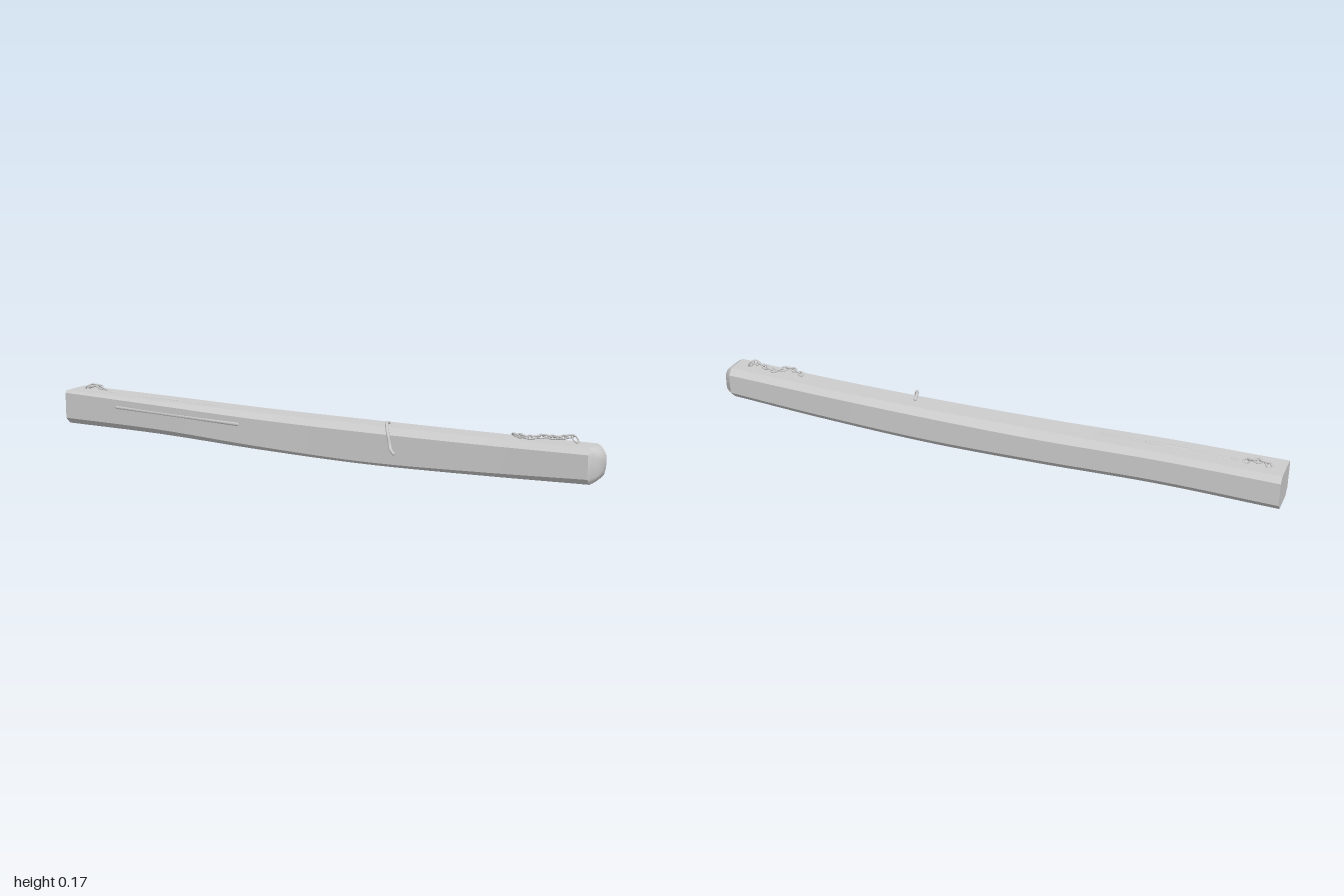
import * as THREE from 'three';
import { mergeGeometries } from 'three/addons/utils/BufferGeometryUtils.js';

const V = (x, y, z) => new THREE.Vector3(x, y, z);

// Beam stations: x, then back z, front z, bottom, top and the four chamfers
// (front top, front bottom, back top, back bottom)
const stationX = [-1, -0.6, -0.2, 0.2, 0.6, 0.965];
const stationValues = [
  -0.087, 0.044, 0.02, 0.143, 0.008, 0.022, 0.018, 0.026,
  -0.084, 0.046, 0.02, 0.139, 0.013, 0.02, 0.018, 0.026,
  -0.087, 0.038, 0.007, 0.134, 0.02, 0.014, 0.024, 0.026,
  -0.09, 0.031, 0.001, 0.132, 0.022, 0.01, 0.022, 0.026,
  -0.087, 0.03, 0.009, 0.133, 0.021, 0.014, 0.02, 0.026,
  -0.079, 0.036, 0.022, 0.137, 0.018, 0.02, 0.02, 0.026,
];
const stations = new THREE.CubicInterpolant(stationX, stationValues, 8);

// Eight-cornered cross-section, going up the front and over the top
function section(x) {
  const [zb, zf, y0, y1, ft, fb, bt, bb] = stations.evaluate(x);
  return [
    V(x, y0 + fb, zf), V(x, y1 - ft, zf), V(x, y1, zf - ft), V(x, y1, zb + bt),
    V(x, y1 - bt, zb), V(x, y0 + bb, zb), V(x, y0, zb + bb), V(x, y0, zf - fb),
  ];
}

// Surface through a row of rings
function loft(rings, closed) {
  const n = rings[0].length, index = [];
  for (let i = 0; i < rings.length - 1; i++) {
    for (let j = 0; j < (closed ? n : n - 1); j++) {
      const k = (j + 1) % n;
      const a = i * n + j, b = (i + 1) * n + j, c = (i + 1) * n + k, d = i * n + k;
      index.push(a, b, c, a, c, d);
    }
  }
  const g = new THREE.BufferGeometry().setFromPoints(rings.flat());
  g.setIndex(index);
  g.computeVertexNormals();
  return g;
}

const shrink = (ring, x, s) => {
  const c = ring.reduce((sum, p) => sum.add(p), V(0, 0, 0)).divideScalar(ring.length);
  return ring.map(p => p.clone().lerp(c, 1 - s).setX(x));
};

export function createModel() {
  const group = new THREE.Group();
  const grey = new THREE.MeshStandardMaterial({ color: 0xcccccc });
  grey.name = 'plain grey';

  const add = (name, geometry, parent = group) => {
    const mesh = new THREE.Mesh(geometry, grey);
    mesh.name = name;
    parent.add(mesh);
    return mesh;
  };
  const tube = (name, points, radius) => {
    const path = new THREE.CatmullRomCurve3(points);
    add(name, new THREE.TubeGeometry(path, 24, radius, 8));
    // Rounded tips
    for (const p of [points[0], points[points.length - 1]]) {
      add(name + 'Tip', new THREE.SphereGeometry(radius, 8, 6)).position.copy(p);
    }
  };

  // Beam: eight strips with crisp edges between them
  const rings = [];
  for (let i = 0; i <= 30; i++) rings.push(section(-1 + 1.965 * i / 30));
  const strips = [];
  for (let j = 0; j < 8; j++) {
    strips.push(loft(rings.map(r => [r[j], r[(j + 1) % 8]]), false));
  }
  add('beam', mergeGeometries(strips));

  // Flat end and domed end
  add('flatEnd', loft([shrink(rings[0], -1, 0), rings[0]], true));
  const end = rings[30];
  const dome = [[0.965, 1], [0.976, 0.9], [0.986, 0.77], [0.994, 0.6], [0.999, 0.36], [1, 0]];
  add('domedEnd', loft(dome.map(([x, s]) => shrink(end, x, s)), true));

  // Bent rod hanging over the front edge
  tube('bentRod', [
    V(0.265, 0.138, -0.03), V(0.272, 0.143, 0), V(0.283, 0.138, 0.025), V(0.297, 0.115, 0.046),
    V(0.307, 0.085, 0.053), V(0.315, 0.072, 0.064), V(0.335, 0.064, 0.085),
  ], 0.0055);

  // Long shallow ridges on the front and the top
  const ridge = (name, from, to, wide, thin, onTop) => {
    const g = new THREE.CapsuleGeometry(1, from.distanceTo(to) / wide - 2, 4, 8);
    g.rotateZ(-Math.PI / 2).scale(wide, onTop ? thin : wide, onTop ? wide : thin);
    const mesh = add(name, g);
    mesh.position.copy(from).lerp(to, 0.5);
    mesh.quaternion.setFromUnitVectors(V(1, 0, 0), to.clone().sub(from).normalize());
  };
  ridge('frontRidge', V(-0.78, 0.103, 0.045), V(-0.27, 0.09, 0.04), 0.006, 0.004, false);
  ridge('topRidge', V(-0.81, 0.14, -0.017), V(-0.39, 0.136, -0.01), 0.004, 0.003, true);
  ridge('topRidge', V(-0.69, 0.139, -0.009), V(-0.54, 0.138, -0.013), 0.006, 0.004, true);
  ridge('topChip', V(-0.85, 0.141, -0.018), V(-0.825, 0.141, -0.016), 0.005, 0.004, true);

  // Chains of links, each turned a quarter against the one before
  const linkShape = new THREE.TorusGeometry(0.0085, 0.0032, 6, 14).scale(1.5, 0.85, 1);
  const chain = (name, points, count) => {
    const chainGroup = new THREE.Group();
    chainGroup.name = name;
    group.add(chainGroup);
    const path = new THREE.CatmullRomCurve3(points);
    for (let i = 0; i < count; i++) {
      const t = (i + 0.5) / count;
      const link = add('link', linkShape, chainGroup);
      link.position.copy(path.getPointAt(t));
      link.quaternion.setFromUnitVectors(V(1, 0, 0), path.getTangentAt(t));
      link.rotateX(Math.PI / 4 + i * Math.PI / 2);
    }
  };
  chain('shortChain', [
    V(-0.955, 0.143, -0.028), V(-0.935, 0.155, -0.024), V(-0.91, 0.158, -0.027),
    V(-0.885, 0.152, -0.024), V(-0.868, 0.143, -0.026),
  ], 5);
  chain('longChain', [
    V(0.7, 0.145, -0.025), V(0.735, 0.146, -0.008), V(0.765, 0.147, 0), V(0.782, 0.147, -0.015),
    V(0.8, 0.147, -0.036), V(0.84, 0.148, -0.028), V(0.87, 0.154, -0.022),
    V(0.893, 0.158, -0.026), V(0.908, 0.144, -0.027),
  ], 12);

  return group;
}
